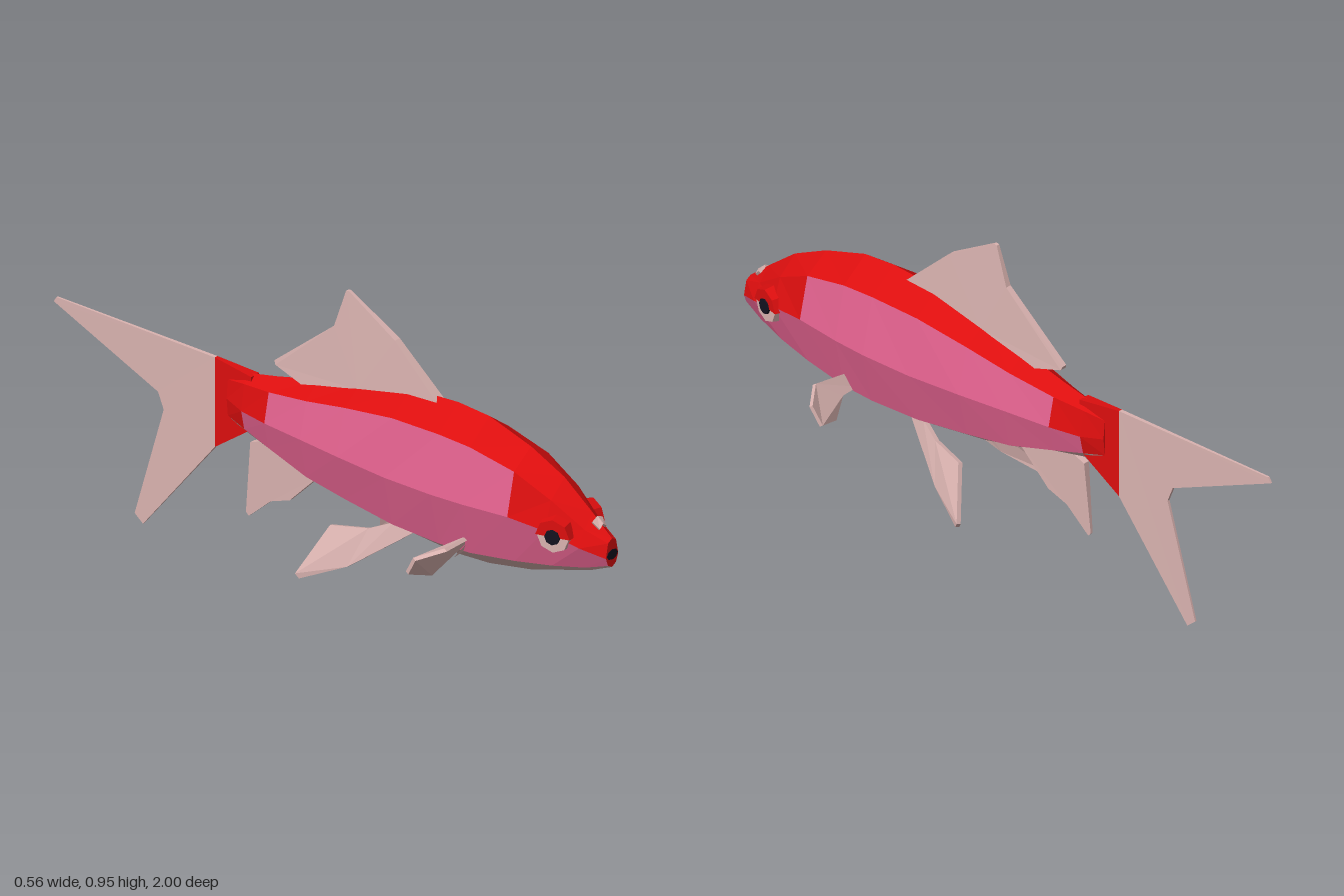
import * as THREE from 'three';

const mat = (name, color, side = THREE.FrontSide) =>
  new THREE.MeshStandardMaterial({ name, color, side });

// Flat-faced geometry from a list of triangles of Vector3
function facets(tris) {
  const g = new THREE.BufferGeometry().setFromPoints(tris.flat());
  g.computeVertexNormals();
  return g;
}

// Fin: a thin slab around an outline of [x, y, z, halfThickness]
function finGeometry(outline) {
  const pts = outline.map(p => new THREE.Vector3(p[0], p[1], p[2]));
  const n = new THREE.Vector3();
  pts.forEach((p, i) => n.add(p.clone().cross(pts[(i + 1) % pts.length])));
  n.normalize();
  const flat = pts.map(p => Math.abs(n.x) > Math.abs(n.z)
    ? new THREE.Vector2(p.z, p.y) : new THREE.Vector2(p.x, p.y));
  const up = pts.map((p, i) => p.clone().addScaledVector(n, outline[i][3]));
  const dn = pts.map((p, i) => p.clone().addScaledVector(n, -outline[i][3]));
  const tris = [];
  for (const [a, b, c] of THREE.ShapeUtils.triangulateShape(flat, [])) {
    const t = pts[b].clone().sub(pts[a]).cross(pts[c].clone().sub(pts[a]));
    const [i, j] = t.dot(n) > 0 ? [b, c] : [c, b];
    tris.push([up[a], up[i], up[j]], [dn[a], dn[j], dn[i]]);
  }
  pts.forEach((_, i) => {
    const k = (i + 1) % pts.length;
    tris.push([dn[i], dn[k], up[k]], [dn[i], up[k], up[i]]);
  });
  return facets(tris);
}

// Outline in the middle plane from [z, y, halfThickness]
const midFin = list => finGeometry(list.map(([z, y, t]) => [0, y, z, t]));

// Body stations: z, top y, upper x/y, middle x/y, lower x/y, bottom y
const STATIONS = [
  [1.00, 0.46, 0.018, 0.45, 0.028, 0.405, 0.018, 0.38, 0.37],
  [0.93, 0.52, 0.038, 0.48, 0.062, 0.43, 0.035, 0.36, 0.34],
  [0.83, 0.60, 0.062, 0.55, 0.090, 0.465, 0.058, 0.345, 0.31],
  [0.71, 0.66, 0.078, 0.61, 0.109, 0.48, 0.075, 0.33, 0.275],
  [0.56, 0.71, 0.088, 0.645, 0.125, 0.48, 0.088, 0.315, 0.25],
  [0.45, 0.72, 0.090, 0.653, 0.130, 0.48, 0.090, 0.312, 0.246],
  [0.28, 0.712, 0.088, 0.652, 0.125, 0.48, 0.088, 0.32, 0.262],
  [0.10, 0.675, 0.075, 0.625, 0.110, 0.485, 0.075, 0.34, 0.288],
  [-0.05, 0.64, 0.060, 0.595, 0.088, 0.485, 0.060, 0.358, 0.325],
  [-0.20, 0.605, 0.040, 0.57, 0.060, 0.48, 0.040, 0.395, 0.38],
  [-0.30, 0.585, 0.025, 0.56, 0.038, 0.48, 0.025, 0.42, 0.395],
  [-0.37, 0.56, 0.010, 0.548, 0.016, 0.49, 0.010, 0.435, 0.42],
];

function bodyGeometries() {
  const parts = { red: [], pink: [], pale: [] };
  for (const s of [1, -1]) {
    const rings = STATIONS.map(([z, ty, ux, uy, mx, my, lx, ly, by]) =>
      [[0, ty], [ux, uy], [mx, my], [lx, ly], [0, by]]
        .map(([x, y]) => new THREE.Vector3(s * x, y, z)));
    const add = (key, a, b, c) => parts[key].push(s > 0 ? [a, b, c] : [a, c, b]);
    for (let i = 0; i < rings.length - 1; i++) {
      const head = i < 3, rear = i >= 9, end = i >= 10;
      const keys = ['red', head || rear ? 'red' : 'pink', end ? 'red' : 'pink', 'pale'];
      keys.forEach((key, j) => {
        const a = rings[i][j], b = rings[i][j + 1];
        const c = rings[i + 1][j + 1], d = rings[i + 1][j];
        add(key, a, b, c);
        add(key, a, c, d);
      });
    }
    // Snout and rear caps
    const front = rings[0], back = rings[rings.length - 1];
    for (let j = 0; j < 3; j++) {
      add('red', front[4], front[j + 1], front[j]);
      add('red', back[4], back[j], back[j + 1]);
    }
  }
  return parts;
}

export function createModel() {
  const red = mat('red scales', 0xdc0e0e);
  const pink = mat('pink flank', 0xdf608c);
  const pale = mat('pale fin', 0xdab3b0);
  const dark = mat('dark pupil', 0x14121f);
  const model = new THREE.Group();
  model.name = 'fish';
  const add = (name, geometry, material, parent = model) => {
    const m = new THREE.Mesh(geometry, material);
    m.name = name;
    parent.add(m);
    return m;
  };

  // Body
  const body = bodyGeometries();
  add('backAndHead', facets(body.red), red);
  add('flanks', facets(body.pink), pink);
  add('belly', facets(body.pale), pale);

  // Tail
  add('tailBase', midFin([[-0.28, 0.585, 0.018], [-0.42, 0.60, 0.006],
    [-0.42, 0.32, 0.006], [-0.28, 0.42, 0.018]]), red);
  add('tailFin', midFin([[-0.42, 0.60, 0.006], [-0.99, 0.616, 0.003], [-1, 0.60, 0.003],
    [-0.625, 0.43, 0.004], [-0.605, 0.38, 0.004], [-0.71, 0.025, 0.003],
    [-0.68, 0, 0.003], [-0.42, 0.32, 0.006]]), pale);

  // Fins on the middle line
  add('dorsalFin', midFin([[0.39, 0.70, 0.018], [0.23, 0.85, 0.011], [0.06, 0.952, 0.005],
    [0.05, 0.95, 0.005], [0.01, 0.83, 0.009], [-0.205, 0.657, 0.008],
    [-0.2, 0.645, 0.01], [-0.09, 0.61, 0.016], [0.1, 0.66, 0.018]]), pale);
  add('analFin', midFin([[-0.04, 0.345, 0.012], [-0.2, 0.41, 0.012], [-0.29, 0.375, 0.01],
    [-0.31, 0.15, 0.004], [-0.3, 0.14, 0.004], [-0.22, 0.21, 0.006],
    [-0.15, 0.235, 0.008]]), pale);

  for (const s of [1, -1]) {
    const side = s > 0 ? 'left' : 'right';
    // Paired fins
    const pelvic = [[0.05, 0.295, 0.33], [0.135, 0.17, 0.16], [0.19, 0.115, 0.03],
      [0.195, 0.13, 0.02], [0.118, 0.272, 0.085], [0.09, 0.285, 0.2], [0.065, 0.315, 0.27]];
    const pectoral = [[0.07, 0.358, 0.55], [0.205, 0.37, 0.565], [0.278, 0.352, 0.51],
      [0.27, 0.297, 0.478], [0.19, 0.27, 0.50], [0.13, 0.312, 0.53], [0.07, 0.315, 0.53]];
    const sided = (list, t) => finGeometry(list.map(([x, y, z]) => [s * x, y, z, t]));
    add(side + 'PelvicFin', sided(pelvic, 0.007), pale);
    add(side + 'PectoralFin', sided(pectoral, 0.006), pale);

    // Eye: pale disc, red lid over the upper half, dark pupil
    const eye = new THREE.Group();
    eye.name = side + 'Eye';
    eye.position.set(s * 0.076, 0.456, 0.855);
    eye.rotation.y = s > 0 ? -0.25 : Math.PI + 0.25;
    model.add(eye);
    const disc = (r, depth, start, length, sides) => new THREE.CylinderGeometry(
      r * 0.9, r, depth, sides, 1, false, start, length).toNonIndexed().rotateZ(-Math.PI / 2);
    const flat = g => { g.computeVertexNormals(); return g; };
    add('eyeDisc', flat(disc(0.055, 0.03, 0, Math.PI * 2, 8)), pale, eye);
    add('eyeLid', flat(disc(0.059, 0.036, Math.PI, Math.PI, 4)), red, eye);
    add('pupil', flat(disc(0.026, 0.044, 0, Math.PI * 2, 8)), dark, eye);

    // Nostril plate lying on the snout
    add(side + 'Nostril', finGeometry([[0, 0.492, 0.966, 0.004], [s * 0.014, 0.481, 0.966, 0.004],
      [s * 0.022, 0.501, 0.945, 0.004], [0, 0.511, 0.945, 0.004]]), pale);
  }

  // Mouth
  const mouth = add('mouth', new THREE.CylinderGeometry(0.024, 0.024, 0.008, 8)
    .rotateX(Math.PI / 2), dark);
  mouth.scale.y = 0.65;
  mouth.position.set(0, 0.41, 0.998);
  return model;
}
